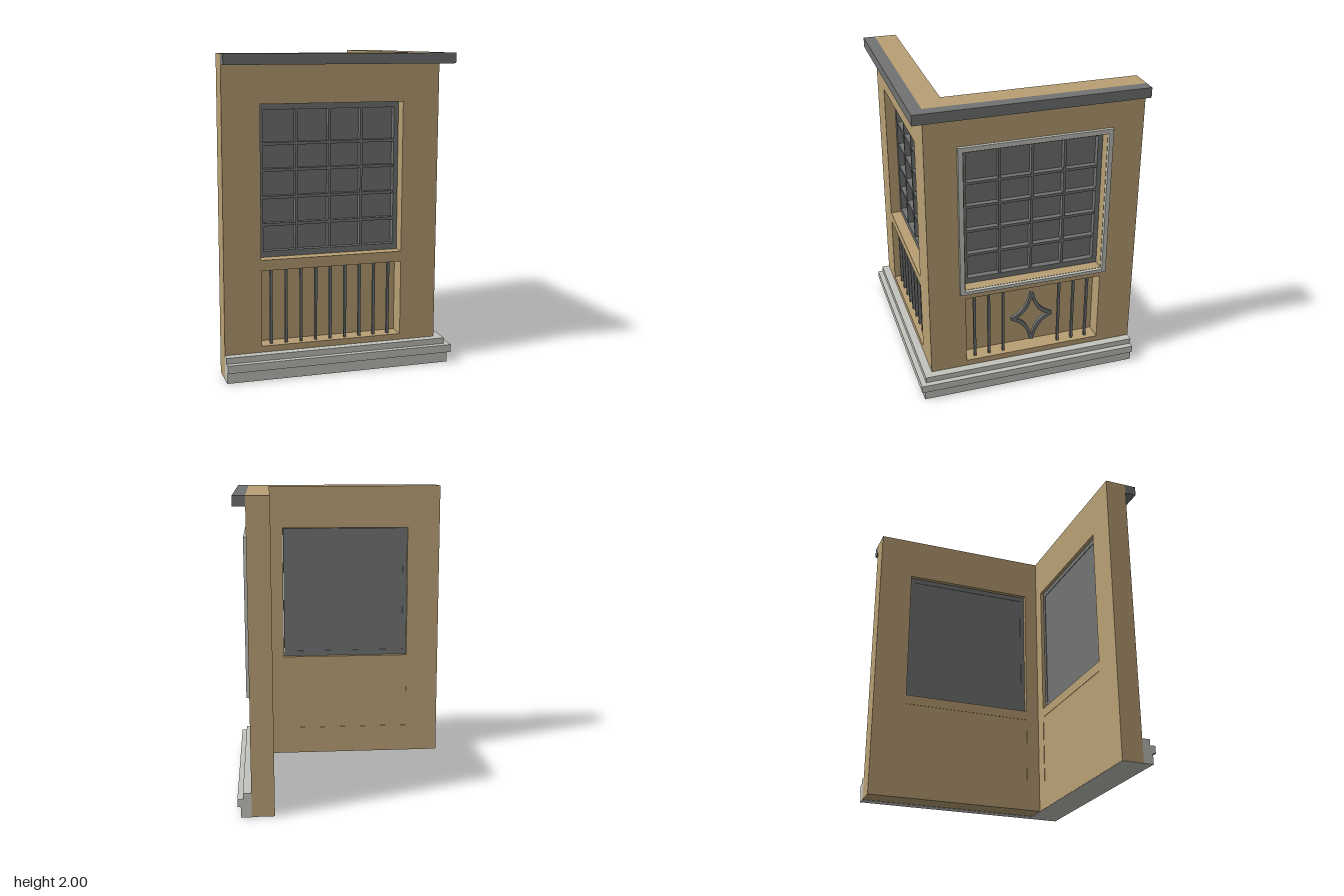
import * as THREE from 'three';

const mat = (name, color) => Object.assign(new THREE.MeshStandardMaterial({ color }), { name });

export function createModel() {
  const plaster = mat('tan plaster', 0xb9a075);
  const iron = mat('dark grey', 0x717373);
  const stone = mat('light grey stone', 0xc3c4bd);
  const INNER = 0.505, OUTER = 0.65, FAR = -0.74;

  // One wing: u runs along the wall towards the corner, z points outward.
  // s flips u so both wings mirror each other across the corner.
  function wing(name, s, wallEnd, trimEnd) {
    const g = new THREE.Group();
    g.name = name;

    const add = (part, geo, material) => {
      const m = new THREE.Mesh(geo, material);
      m.name = part;
      g.add(m);
      return m;
    };
    const box = (part, u0, u1, y0, y1, z0, z1, material) => {
      const m = add(part, new THREE.BoxGeometry(u1 - u0, y1 - y0, z1 - z0), material);
      m.position.set(s * (u0 + u1) / 2, (y0 + y1) / 2, (z0 + z1) / 2);
    };
    // Rectangle kept counter-clockwise in both wings
    const rect = (Type, u0, u1, y0, y1) => {
      const x0 = Math.min(s * u0, s * u1), x1 = Math.max(s * u0, s * u1);
      return new Type([[x0, y0], [x1, y0], [x1, y1], [x0, y1]].map(([x, y]) => new THREE.Vector2(x, y)));
    };
    const plate = (part, shape, z0, z1, material) => {
      const geo = new THREE.ExtrudeGeometry(shape, { depth: z1 - z0, bevelEnabled: false, curveSegments: 10 });
      geo.translate(0, 0, z0);
      return add(part, geo, material);
    };

    // Wall with window and lower panel openings
    const wall = rect(THREE.Shape, FAR, wallEnd, 0.002, 2);
    wall.holes.push(rect(THREE.Path, -0.505, 0.412, 0.745, 1.7), rect(THREE.Path, -0.505, 0.412, 0.197, 0.678));
    plate('wall', wall, INNER, OUTER, plaster);
    box('recessedPanel', -0.505, 0.412, 0.197, 0.678, INNER + 0.003, 0.54, plaster);

    // Stepped base and top cornice
    for (const [y0, y1, out] of [[0, 0.07, 0.717], [0.07, 0.12, 0.737], [0.12, 0.158, 0.702]]) {
      box('baseStep', FAR, trimEnd ?? out, y0, y1, OUTER, out, stone);
    }
    box('cornice', FAR, trimEnd ?? 0.728, 1.935, 2, OUTER, 0.728, iron);

    // Window frame, glazing bars and pane
    const frame = rect(THREE.Shape, -0.505, 0.408, 0.747, 1.695);
    frame.holes.push(rect(THREE.Path, -0.474, 0.379, 0.785, 1.661));
    plate('windowFrame', frame, 0.526, 0.58, iron);
    box('windowPane', -0.48, 0.385, 0.78, 1.665, 0.53, 0.54, iron);
    for (const u of [-0.26, -0.047, 0.163]) box('verticalBar', u - 0.008, u + 0.008, 0.785, 1.661, 0.54, 0.578, iron);
    for (const y of [0.95, 1.12, 1.29, 1.452]) box('horizontalBar', -0.474, 0.379, y - 0.009, y + 0.009, 0.54, 0.576, iron);

    const bars = (list) => {
      for (const u of list) box('panelBar', u - 0.008, u + 0.008, 0.197, 0.678, 0.6, 0.618, iron);
    };
    return { g, rect, box, plate, bars };
  }

  // Front wing: plain window above nine bars
  const front = wing('frontWing', 1, OUTER);
  front.bars(Array.from({ length: 9 }, (_, i) => -0.435 + i * 0.0968));
  front.box('baseFooting', FAR + 0.001, OUTER, 0, 0.07, INNER + 0.001, OUTER, stone);

  // Side wing: trimmed window above bars and a star ornament
  const side = wing('sideWing', -1, INNER, OUTER);
  side.g.rotation.y = Math.PI / 2;
  side.bars([-0.432, -0.335, -0.235, 0.15, 0.248, 0.345]);

  const trim = side.rect(THREE.Shape, -0.535, 0.45, 0.72, 1.737);
  trim.holes.push(side.rect(THREE.Path, -0.507, 0.42, 0.743, 1.706));
  side.plate('windowTrim', trim, OUTER, 0.672, stone);

  // Concave four-pointed star outline
  const star = (Type, w, h, k, tip) => {
    const p = new Type();
    p.moveTo(w, tip);
    p.quadraticCurveTo(w * k, h * k, tip, h);
    p.lineTo(-tip, h);
    p.quadraticCurveTo(-w * k, h * k, -w, tip);
    p.lineTo(-w, -tip);
    p.quadraticCurveTo(-w * k, -h * k, -tip, -h);
    p.lineTo(tip, -h);
    p.quadraticCurveTo(w * k, -h * k, w, -tip);
    p.closePath();
    return p;
  };
  const starShape = star(THREE.Shape, 0.14, 0.183, 0.27, 0.011);
  starShape.holes.push(star(THREE.Path, 0.107, 0.143, 0.24, 0.002));
  side.plate('starOrnament', starShape, 0.6, 0.622, iron).position.set(0.045, 0.436, 0);

  const model = new THREE.Group();
  model.name = 'cornerWall';
  model.add(front.g, side.g);
  return model;
}
